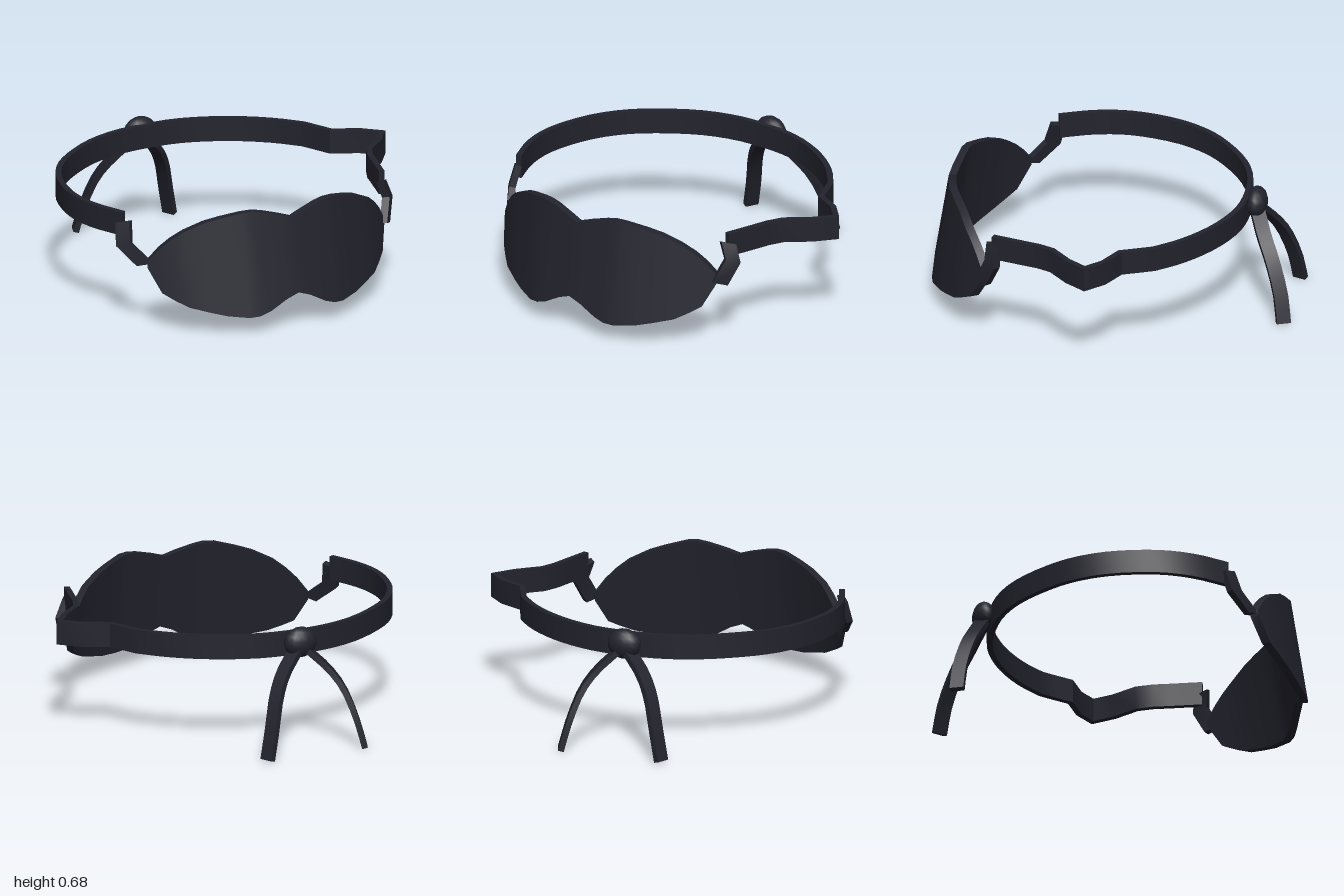
import * as THREE from 'three';
import { toCreasedNormals } from 'three/addons/utils/BufferGeometryUtils.js';

const V = (x, y, z) => new THREE.Vector3(x, y, z);
const MID = -0.1; // x of the symmetry plane of mask, knot and ties

// Skin a list of four-cornered sections, with both ends capped
function skin(sections, crease = 0.5) {
  const pos = [];
  const quad = (a, b, c, d) => [a, b, c, a, c, d].forEach(p => pos.push(p.x, p.y, p.z));
  for (let i = 0; i + 1 < sections.length; i++) {
    const a = sections[i], b = sections[i + 1];
    for (let k = 0; k < 4; k++) {
      const m = (k + 1) % 4;
      quad(a[k], a[m], b[m], b[k]);
    }
  }
  quad(...[...sections[0]].reverse());
  quad(...sections[sections.length - 1]);
  const g = new THREE.BufferGeometry();
  g.setAttribute('position', new THREE.Float32BufferAttribute(pos, 3));
  return toCreasedNormals(g, crease);
}

// Flat ribbon along a path; "across" is the direction of its width
function ribbon(points, across, width, thickness) {
  const W = across.clone().normalize();
  const last = points.length - 1;
  return skin(points.map((p, i) => {
    const ahead = points[Math.min(i + 1, last)].clone().sub(points[Math.min(i, last - 1)]).normalize();
    const behind = points[Math.max(i, 1)].clone().sub(points[Math.max(i - 1, 0)]).normalize();
    const tangent = ahead.clone().add(behind).normalize();
    const miter = 1 / Math.max(0.5, tangent.dot(ahead));
    const n = W.clone().cross(tangent).normalize().multiplyScalar(thickness / 2 * miter);
    const w = W.clone().multiplyScalar(width / 2);
    return [[1, 1], [-1, 1], [-1, -1], [1, -1]].map(([a, b]) =>
      p.clone().addScaledVector(n, a).addScaledVector(w, b));
  }));
}

export function createModel() {
  const group = new THREE.Group();
  const fabric = new THREE.MeshStandardMaterial({ color: 0x23232e });
  fabric.name = 'dark fabric';
  const add = (name, geometry) => {
    const mesh = new THREE.Mesh(geometry, fabric);
    mesh.name = name;
    group.add(mesh);
    return mesh;
  };

  // Curved eye mask: distance from middle, top, bottom, front depth
  const half = [
    [0, 0.625, 0.21, 1.0], [0.07, 0.648, 0.185, 0.995], [0.17, 0.675, 0.13, 0.982],
    [0.23, 0.685, 0.11, 0.975], [0.29, 0.682, 0.105, 0.96], [0.4, 0.655, 0.117, 0.905],
    [0.48, 0.63, 0.137, 0.863], [0.58, 0.58, 0.165, 0.805], [0.64, 0.53, 0.2, 0.755],
    [0.69, 0.475, 0.235, 0.71], [0.74, 0.4, 0.365, 0.66],
  ];
  const columns = [
    ...half.slice(1).reverse().map(([u, ...r]) => [-u, ...r]),
    ...half,
  ];
  add('eyeMask', skin(columns.map(([u, top, bottom, depth]) => {
    const lean = y => depth - 0.16 * (y - 0.21);
    const back = y => V(MID + u * 0.97, y, lean(y) - 0.043);
    const front = y => V(MID + u, y, lean(y));
    return [back(top), front(top), front(bottom), back(bottom)];
  })));

  // Head band, with the pointed fold on the left side
  const fold = [
    [0.66, 0.57], [0.71, 0.4], [0.735, 0.31], [0.775, 0.225], [0.895, 0.12],
    [0.975, 0.015], [0.885, -0.075], [0.745, -0.145], [0.705, -0.24],
  ].map(([x, z]) => V(x, 0.578, z));
  const arc = new THREE.CatmullRomCurve3([
    [0.67, -0.32], [0.565, -0.44], [0.43, -0.55], [0.27, -0.64], [0.09, -0.7],
    [-0.1, -0.715], [-0.29, -0.7], [-0.475, -0.64], [-0.66, -0.525], [-0.8, -0.4],
    [-0.905, -0.24], [-0.967, -0.05], [-0.984, 0.11], [-0.96, 0.27], [-0.89, 0.45],
  ].map(([x, z]) => V(x, 0.578, z)));
  add('headBand', ribbon([...fold, ...arc.getPoints(36)], V(0, 1, 0), 0.134, 0.032));

  // Short links from the band down to the mask corners
  add('leftLink', ribbon(
    [V(0.66, 0.585, 0.565), V(0.695, 0.49, 0.57), V(0.65, 0.365, 0.625)],
    V(-0.06, 0.025, 0.07), 0.085, 0.04));
  add('rightLink', ribbon(
    [V(-0.89, 0.59, 0.455), V(-0.905, 0.47, 0.49), V(-0.835, 0.375, 0.595)],
    V(0.06, 0.025, 0.07), 0.085, 0.035));

  // Knot at the back
  const knot = add('knot', new THREE.SphereGeometry(1, 14, 9));
  knot.scale.set(0.097, 0.085, 0.062);
  knot.position.set(MID, 0.59, -0.765);

  // Two loose ends hanging from the knot
  for (const s of [-1, 1]) {
    const path = new THREE.CatmullRomCurve3([
      [0, 0.58, -0.76], [0.13, 0.45, -0.825], [0.2, 0.34, -0.88],
      [0.255, 0.17, -0.935], [0.295, 0.008, -0.96],
    ].map(([u, y, z]) => V(MID + s * u, y, z)));
    add(s > 0 ? 'leftTie' : 'rightTie',
      ribbon(path.getPoints(9), V(-s * 0.03, 0, -0.07), 0.078, 0.032));
  }

  return group;
}
